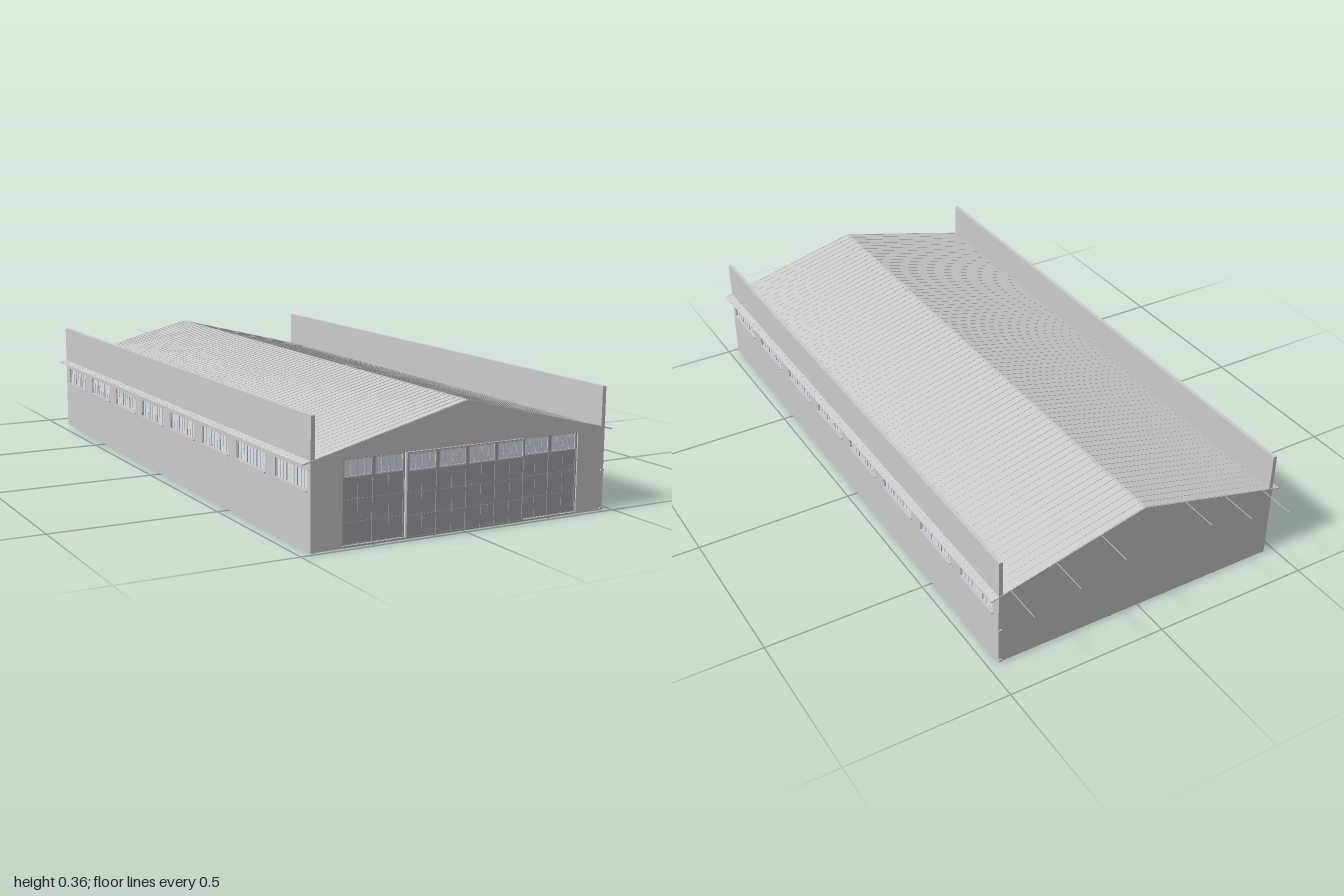
import * as THREE from 'three';

const wallMat = new THREE.MeshStandardMaterial({ color: 0xcccccc, side: THREE.DoubleSide });
const doorMat = new THREE.MeshStandardMaterial({ color: 0xa6aaab });
const glassMat = new THREE.MeshStandardMaterial({ color: 0xdfe9f0 });

const BACK = -0.88, FRONT = 0.99, LENGTH = FRONT - BACK, MID = (FRONT + BACK) / 2;
const HALF = 0.467, WALL = 0.012, PARAPET = 0.357;
const RIDGE = 0.358, EAVE_X = 0.491, EAVE_Y = 0.235;
const SLOPE = (RIDGE - EAVE_Y) / EAVE_X;
const roofY = (x) => RIDGE - SLOPE * Math.abs(x);

function add(parent, name, geometry, material, x = 0, y = 0, z = 0) {
  const mesh = new THREE.Mesh(geometry, material);
  mesh.name = name;
  mesh.position.set(x, y, z);
  parent.add(mesh);
  return mesh;
}

function box(parent, name, w, h, d, x, y, z, material = wallMat) {
  return add(parent, name, new THREE.BoxGeometry(w, h, d), material, x, y, z);
}

function polygon(points) {
  return new THREE.Shape(points.map(([x, y]) => new THREE.Vector2(x, y)));
}

function rectangle(x0, y0, x1, y1) {
  return polygon([[x0, y0], [x1, y0], [x1, y1], [x0, y1]]);
}

// Glazing in the xy plane, with a frame and a grid of thin bars
function glazing(name, w, h, cols, rows, heavyEvery = 0) {
  const g = new THREE.Group();
  g.name = name;
  box(g, 'glass', w, h, 0.002, 0, 0, 0, glassMat);
  for (const s of [-1, 1]) {
    box(g, 'frameRail', w, 0.003, 0.008, 0, s * (h / 2 - 0.0015), 0);
    box(g, 'frameStile', 0.003, h, 0.008, s * (w / 2 - 0.0015), 0, 0);
  }
  for (let i = 1; i < cols; i++) {
    const heavy = heavyEvery && i % heavyEvery === 0;
    box(g, 'verticalBar', heavy ? 0.003 : 0.0012, h, heavy ? 0.007 : 0.004, (i / cols - 0.5) * w, 0, 0);
  }
  for (let j = 1; j < rows; j++) box(g, 'horizontalBar', w, 0.0012, 0.004, 0, (j / rows - 0.5) * h, 0);
  return g;
}

// One sliding door leaf with a glazed upper strip
function doorLeaf(width) {
  const g = new THREE.Group();
  g.name = 'doorLeaf';
  box(g, 'lowerPanel', width, 0.18, 0.004, 0, 0.095, 0, doorMat);
  for (const s of [-1, 1]) box(g, 'stile', 0.004, 0.23, 0.008, s * (width / 2 - 0.002), 0.12, 0, doorMat);
  for (const y of [0.008, 0.066, 0.126, 0.184, 0.2345]) {
    box(g, 'rail', width, 0.003, 0.0065, 0, y, 0, doorMat);
  }
  box(g, 'centreStile', 0.0025, 0.18, 0.0065, 0, 0.095, 0, doorMat);
  const top = glazing('transomWindow', width - 0.008, 0.048, 4, 2);
  top.position.y = 0.21;
  g.add(top);
  return g;
}

export function createModel() {
  const model = new THREE.Group();
  model.name = 'hangar';

  // Floor slab and small footings
  box(model, 'floorSlab', HALF * 2, 0.006, LENGTH, 0, 0.005, MID);
  for (const x of [-0.46, -0.28, -0.095, 0.095, 0.28, 0.46]) {
    for (const z of [BACK + 0.005, FRONT - 0.005]) box(model, 'footing', 0.008, 0.004, 0.01, x, 0.002, z);
  }

  // Gable walls, the front one with a wide door opening
  const gable = (hasDoor) => {
    const shape = polygon([[-HALF, 0.004], [HALF, 0.004], [HALF, roofY(HALF) - 0.001],
      [0, RIDGE - 0.003], [-HALF, roofY(HALF) - 0.001]]);
    if (hasDoor) shape.holes.push(rectangle(-0.374, 0.006, 0.374, 0.236));
    return new THREE.ExtrudeGeometry(shape, { depth: WALL, bevelEnabled: false });
  };
  add(model, 'frontGable', gable(true), wallMat, 0, 0, FRONT - WALL);
  add(model, 'backGable', gable(false), wallMat, 0, 0, BACK);

  // Doors: the four middle leaves slide in front of the outer ones
  const leafWidth = 0.748 / 8;
  for (let i = 0; i < 8; i++) {
    const leaf = doorLeaf(leafWidth);
    const middle = i > 1 && i < 6;
    leaf.position.set((i - 3.5) * leafWidth, 0, middle ? 0.995 : 0.982);
    model.add(leaf);
  }
  box(model, 'doorTrack', 0.748, 0.003, 0.014, 0, 0.0055, 0.985, doorMat);

  // Long walls rise above the roof as parapets
  const windowZ = Array.from({ length: 8 }, (_, i) => 0.882 - i * 0.2345);
  const side = polygon([[BACK, 0.004], [FRONT, 0.004], [FRONT, PARAPET], [BACK, PARAPET]]);
  for (const z of windowZ) side.holes.push(rectangle(z - 0.088, 0.16, z + 0.088, 0.214));
  const sideGeo = new THREE.ExtrudeGeometry(side, { depth: WALL, bevelEnabled: false });
  sideGeo.rotateY(-Math.PI / 2);
  for (const s of [-1, 1]) {
    add(model, s > 0 ? 'leftWall' : 'rightWall', sideGeo, wallMat, s > 0 ? HALF : -HALF + WALL, 0, 0);
    for (const z of windowZ) {
      const win = glazing('sideWindow', 0.176, 0.054, 9, 3, 3);
      win.rotation.y = s * Math.PI / 2;
      win.position.set(s * (HALF - 0.006), 0.187, z);
      model.add(win);
      box(model, 'windowSill', 0.006, 0.004, 0.18, s * (HALF + 0.001), 0.159, z);
    }
  }

  // Gable roof with thin ribs running down each slope
  const roof = polygon([[-EAVE_X, EAVE_Y - 0.003], [0, RIDGE - 0.004], [EAVE_X, EAVE_Y - 0.003],
    [EAVE_X, EAVE_Y], [0, RIDGE - 0.001], [-EAVE_X, EAVE_Y]]);
  const roofGeo = new THREE.ExtrudeGeometry(roof, { depth: LENGTH + 0.004, bevelEnabled: false });
  add(model, 'roof', roofGeo, wallMat, 0, 0, BACK - 0.002);
  const slopeLength = Math.hypot(EAVE_X, RIDGE - EAVE_Y);
  const ribs = 75;
  for (const s of [-1, 1]) {
    const sheet = new THREE.Group();
    sheet.name = 'roofRibs';
    sheet.position.set(s * EAVE_X / 2, (RIDGE + EAVE_Y) / 2 - 0.0005, 0);
    sheet.rotation.z = -s * Math.atan(SLOPE);
    for (let i = 0; i <= ribs; i++) {
      box(sheet, 'rib', slopeLength, 0.0015, 0.003, 0, 0, BACK + 0.002 + (LENGTH - 0.004) * i / ribs);
    }
    model.add(sheet);
  }
  box(model, 'ridgeCap', 0.006, 0.0015, LENGTH, 0, RIDGE - 0.0007, MID);

  // Thin purlin rods projecting from the back
  const rodGeo = new THREE.CylinderGeometry(0.0012, 0.0012, 0.125, 6).rotateX(Math.PI / 2);
  for (const x of [0.143, 0.287, 0.43]) {
    for (const s of [-1, 1]) add(model, 'purlinRod', rodGeo, wallMat, s * x, roofY(x) - 0.003, -0.9375);
  }

  // Small brackets on the left-hand corners
  for (const z of [BACK - 0.001, FRONT + 0.001]) {
    for (const y of [0.008, 0.118]) box(model, 'cornerBracket', 0.01, 0.006, 0.006, 0.462, y, z);
  }
  return model;
}
